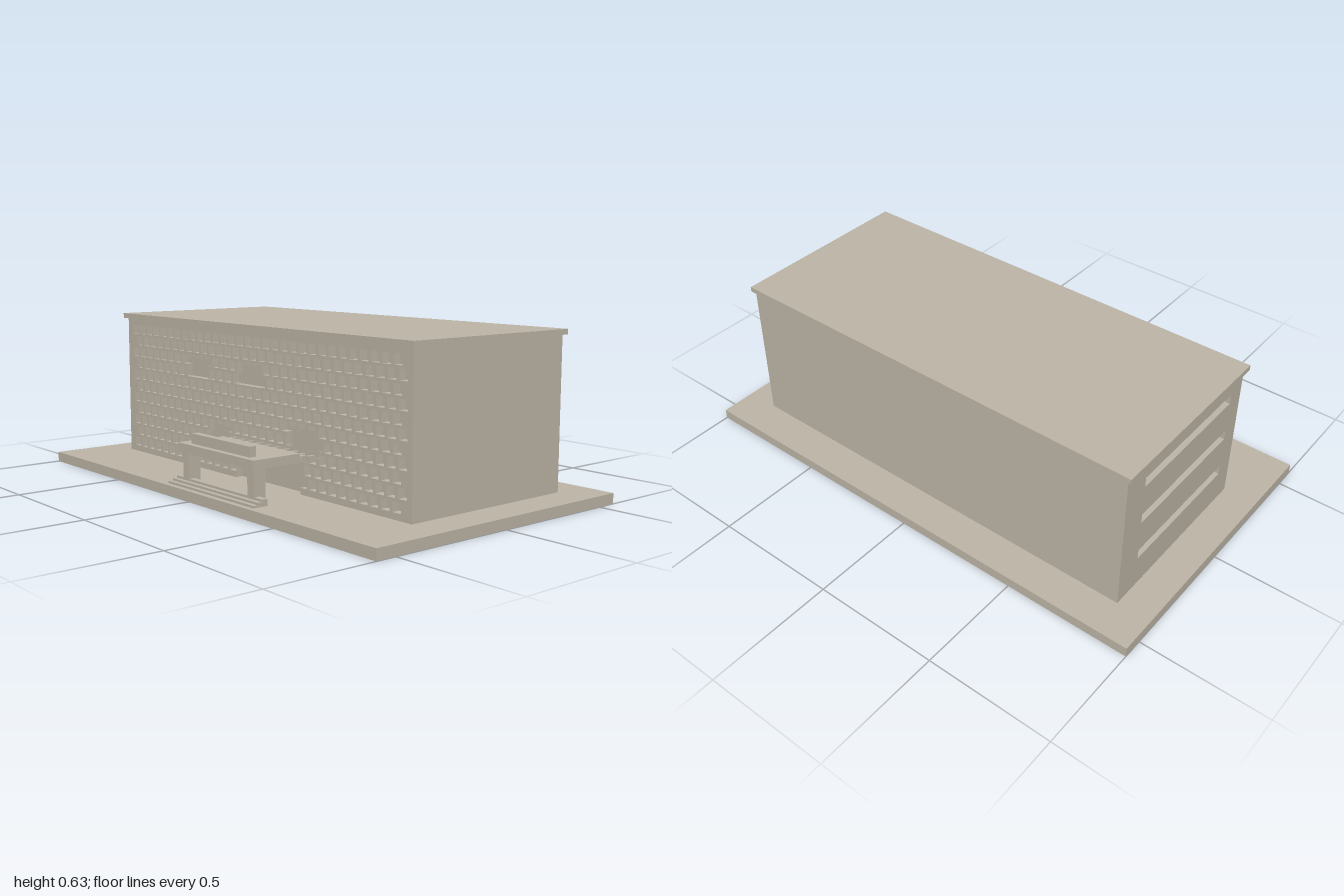
import * as THREE from 'three';

const stone = new THREE.MeshStandardMaterial({ color: 0xbeb6a8 });
stone.name = 'stone';

// Box given by its min and max on each axis
function block(name, [x0, x1], [y0, y1], [z0, z1]) {
  const mesh = new THREE.Mesh(new THREE.BoxGeometry(x1 - x0, y1 - y0, z1 - z0), stone);
  mesh.position.set((x0 + x1) / 2, (y0 + y1) / 2, (z0 + z1) / 2);
  mesh.name = name;
  return mesh;
}

// Wall layer from z = 0 back to z = -depth, pierced by overlapping rectangles [x0, x1, y0, y1]
function piercedWall(name, outline, cuts, depth) {
  const breaks = (a, b) => [...new Set([outline, ...cuts].flatMap(r => [r[a], r[b]]).map(v => +v.toFixed(4)))].sort((p, q) => p - q);
  const xs = breaks(0, 1), ys = breaks(2, 3), pos = [];
  const inside = (r, x, y) => x > r[0] && x < r[1] && y > r[2] && y < r[3];
  const solid = (i, j) => {
    if (i < 0 || j < 0 || i >= xs.length - 1 || j >= ys.length - 1) return false;
    const x = (xs[i] + xs[i + 1]) / 2, y = (ys[j] + ys[j + 1]) / 2;
    return inside(outline, x, y) && !cuts.some(r => inside(r, x, y));
  };
  const quad = (a, b, c, d) => pos.push(...a, ...b, ...c, ...a, ...c, ...d);
  // Reveal below the wall edge running from p to q, solid on its left
  const reveal = (p, q) => quad([...p, -depth], [...q, -depth], [...q, 0], [...p, 0]);
  for (let i = 0; i < xs.length - 1; i++) {
    for (let j = 0; j < ys.length - 1; j++) {
      if (!solid(i, j)) continue;
      const a = [xs[i], ys[j]], b = [xs[i + 1], ys[j]], c = [xs[i + 1], ys[j + 1]], d = [xs[i], ys[j + 1]];
      quad([...a, 0], [...b, 0], [...c, 0], [...d, 0]);
      if (!solid(i, j - 1)) reveal(a, b);
      if (!solid(i + 1, j)) reveal(b, c);
      if (!solid(i, j + 1)) reveal(c, d);
      if (!solid(i - 1, j)) reveal(d, a);
    }
  }
  const geo = new THREE.BufferGeometry();
  geo.setAttribute('position', new THREE.Float32BufferAttribute(pos, 3));
  geo.computeVertexNormals();
  const mesh = new THREE.Mesh(geo, stone);
  mesh.name = name;
  return mesh;
}

export function createModel() {
  const model = new THREE.Group();
  model.name = 'building';
  const depth = 0.03, pitch = 0.0533;

  // Plinth, core and roof
  model.add(
    block('plinth', [-1, 1], [0, 0.04], [-0.58, 0.58]),
    block('core', [-0.865 + depth, 0.865], [0.04, 0.61], [-0.435, 0.3 - depth]),
    block('roof', [-0.88, 0.88], [0.61, 0.63], [-0.445, 0.315])
  );

  // Staggered window grid, four large recesses and the entrance
  const cuts = [
    [-0.42, -0.27, 0.4, 0.478],
    [-0.083, 0.072, 0.4, 0.478],
    [-0.27, -0.142, 0.125, 0.227],
    [0.22, 0.4, 0.185, 0.275],
    [-0.09, 0.3, 0.04, 0.163],
  ];
  for (let row = 0; row < 11; row++) {
    const y = 0.083 + row * 0.0482;
    for (let k = -15; k <= 15; k++) {
      const x = k * pitch + (row % 2 ? 0.0207 : -0.006);
      cuts.push([x - 0.02, x + 0.02, y - 0.019, y + 0.019]);
    }
  }
  const facade = piercedWall('facade', [-0.865, 0.865, 0.04, 0.61], cuts, depth);
  facade.position.z = 0.3;
  model.add(facade);

  // Side wall with three long slots
  const slots = [0.19, 0.36, 0.525].map(y => [-0.325, 0.225, y - 0.02, y + 0.02]);
  const side = piercedWall('leftOutWall', [-0.435, 0.3 - depth, 0.04, 0.61], slots, depth);
  side.name = 'slottedSideWall';
  side.rotation.y = -Math.PI / 2;
  side.position.x = -0.865;
  model.add(side);

  // Entrance canopy with a notched rear edge, sign block and columns
  const porch = new THREE.Group();
  porch.name = 'porch';
  porch.add(
    block('canopy', [-0.13, 0.335], [0.163, 0.197], [0.33, 0.535]),
    block('canopyRear', [-0.13, 0.335], [0.163, 0.186], [0.3, 0.33]),
    block('canopySign', [-0.075, 0.282], [0.197, 0.235], [0.482, 0.511])
  );
  for (let k = -2; k < 6; k++) {
    const x = (k + 0.5) * pitch - 0.006;
    porch.add(block('canopyTooth', [x - 0.0066, x + 0.0066], [0.186, 0.197], [0.3, 0.33]));
  }
  for (const x of [-0.096, 0.303]) {
    porch.add(block('column', [x - 0.019, x + 0.019], [0.04, 0.163], [0.473, 0.523]));
  }

  // Steps
  [0.558, 0.54, 0.522].forEach((front, i) => {
    porch.add(block('step', [-0.163, 0.366], [0.04 + i * 0.0083, 0.0483 + i * 0.0083], [0.498, front]));
  });
  model.add(porch);
  return model;
}
